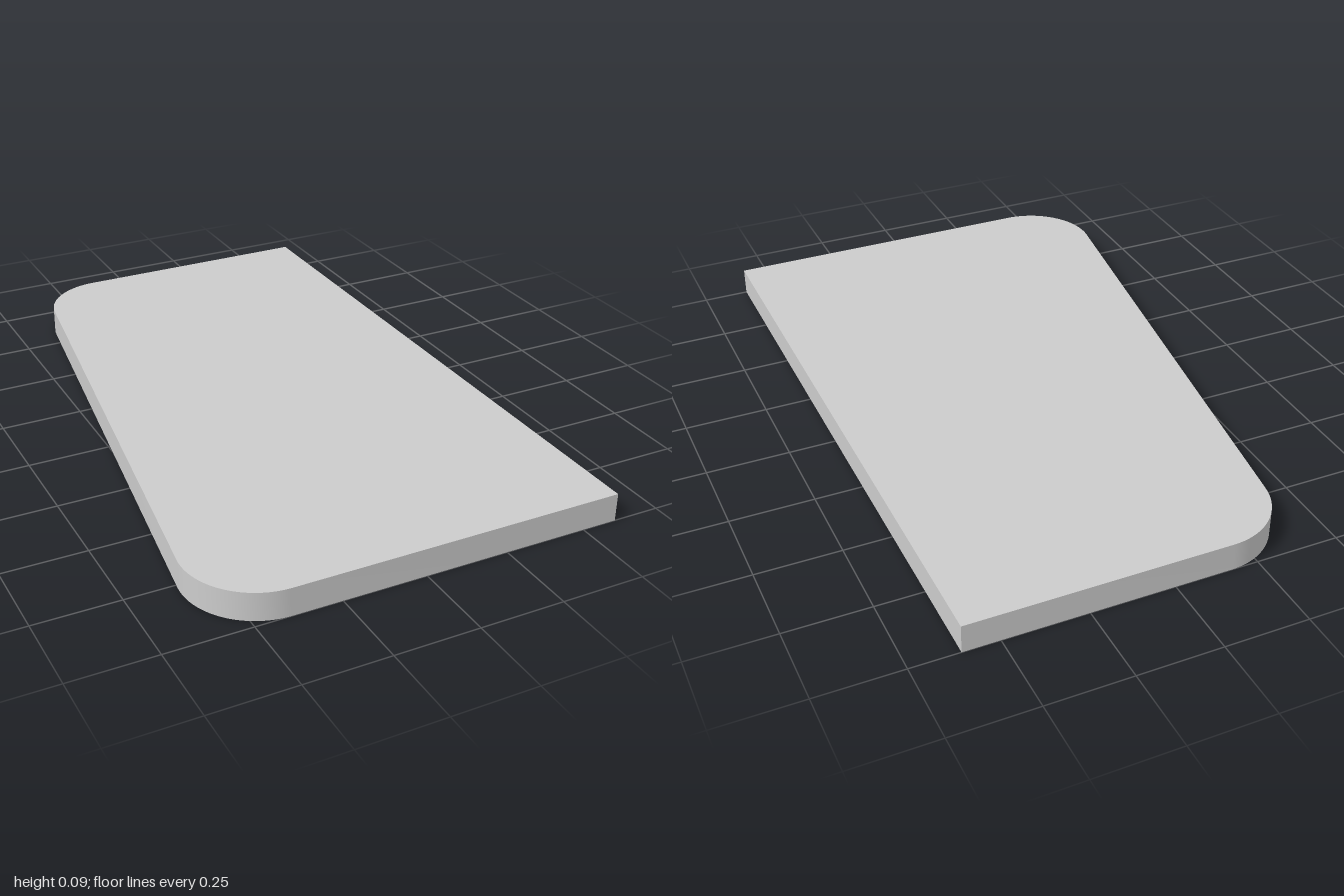
import * as THREE from 'three';
import { toCreasedNormals } from 'three/addons/utils/BufferGeometryUtils.js';

const THICKNESS = 0.085;
const HALF_WIDTH = 0.607;
const RADIUS = 0.21; // rounded corners on the slanted side
const SLANT = 0.144; // lean of the slanted edge, in radians

// Outline seen from above, with shape y pointing to the back
function slabOutline() {
  const shape = new THREE.Shape();
  const edgeAngle = Math.PI - SLANT;
  shape.moveTo(HALF_WIDTH, -1);
  shape.lineTo(HALF_WIDTH, 1);
  // back corner, slanted edge, front corner
  shape.absarc(-0.17, 1 - RADIUS, RADIUS, Math.PI / 2, edgeAngle, false);
  shape.absarc(-HALF_WIDTH + RADIUS, -1 + RADIUS, RADIUS, edgeAngle, Math.PI * 1.5, false);
  shape.closePath();
  return shape;
}

export function createModel() {
  const group = new THREE.Group();
  group.name = 'slantedSlab';

  // Flat slab lying on the ground, smooth around the corners only
  let geometry = new THREE.ExtrudeGeometry(slabOutline(), {
    depth: THICKNESS,
    bevelEnabled: false,
    curveSegments: 16,
  });
  geometry.rotateX(-Math.PI / 2);
  geometry = toCreasedNormals(geometry, 0.5);

  const slab = new THREE.Mesh(geometry, new THREE.MeshStandardMaterial({ color: 0xcccccc }));
  slab.name = 'slab';
  group.add(slab);
  return group;
}
